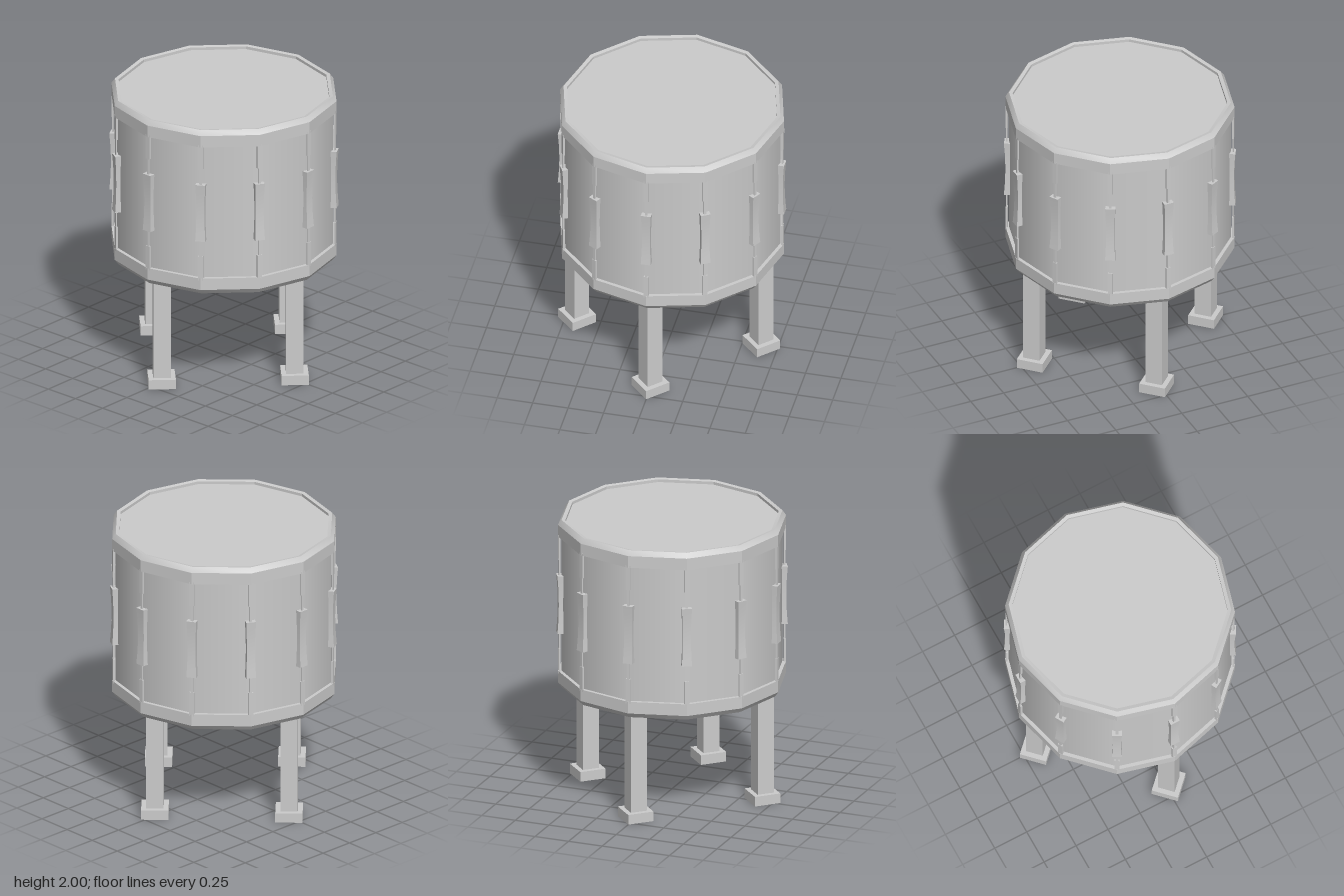
import * as THREE from 'three';
import { toCreasedNormals } from 'three/addons/utils/BufferGeometryUtils.js';

const SIDES = 12;
const MID = 1.39; // height of the drum's middle
const material = new THREE.MeshStandardMaterial({ color: 0xcccccc });

function add(parent, name, geometry, x = 0, y = 0, z = 0) {
  const mesh = new THREE.Mesh(geometry, material);
  mesh.name = name;
  mesh.position.set(x, y, z);
  parent.add(mesh);
  return mesh;
}

// Hoop cross-section, measured from the drum's middle, with a bevelled lip
function hoopGeometry() {
  const profile = [
    [0.75, 0.49], [0.79, 0.49], [0.79, 0.575], [0.765, 0.61], [0.74, 0.605], [0.74, 0.57],
  ].map(([r, y]) => new THREE.Vector2(r, y));
  return toCreasedNormals(new THREE.LatheGeometry(profile, SIDES), 0.5);
}

// Block lug with a slight waist in width and depth
function lugGeometry() {
  const geometry = new THREE.BoxGeometry(0.07, 0.42, 0.06, 1, 6, 1);
  const p = geometry.attributes.position;
  for (let i = 0; i < p.count; i++) {
    const waist = 1 - (p.getY(i) / 0.21) ** 2;
    p.setX(i, p.getX(i) * (1 - 0.18 * waist));
    if (p.getZ(i) > 0) p.setZ(i, p.getZ(i) - 0.01 * waist);
  }
  return toCreasedNormals(geometry, 0.5);
}

export function createModel() {
  const model = new THREE.Group();
  model.name = 'floorDrum';

  const drum = new THREE.Group();
  drum.name = 'drumBody';
  drum.position.y = MID;
  model.add(drum);

  // Shell
  add(drum, 'shell', new THREE.CylinderGeometry(0.765, 0.765, 1.1, SIDES, 1, true));

  // Hoop and head at each end; the lower pair is the upper one turned over
  const hoop = hoopGeometry();
  const head = new THREE.CylinderGeometry(0.745, 0.745, 0.03, SIDES);
  for (const [prefix, turn] of [['top', 0], ['bottom', Math.PI]]) {
    const end = new THREE.Group();
    end.name = prefix + 'End';
    end.rotation.x = turn;
    add(end, prefix + 'Hoop', hoop);
    add(end, prefix + 'Head', head, 0, 0.57, 0);
    drum.add(end);
  }

  // Lugs and tension rods on every corner of the shell
  const lug = lugGeometry();
  const rod = new THREE.BoxGeometry(0.018, 0.14, 0.01);
  const sleeve = new THREE.BoxGeometry(0.034, 0.18, 0.014);
  for (let i = 0; i < SIDES; i++) {
    const tensioner = new THREE.Group();
    tensioner.name = 'tensioner';
    tensioner.rotation.y = (i * Math.PI * 2) / SIDES;
    add(tensioner, 'lug', lug, 0, 0, 0.768);
    for (const s of [1, -1]) {
      add(tensioner, 'tensionRod', rod, 0, s * 0.27, 0.78);
      add(tensioner, 'rodSleeve', sleeve, 0, s * 0.415, 0.78);
    }
    drum.add(tensioner);
  }

  // Square legs with feet, turned corner-on
  const leg = new THREE.BoxGeometry(0.12, 0.76, 0.12);
  const foot = new THREE.BoxGeometry(0.188, 0.07, 0.188);
  for (const [x, z] of [[0, 0.65], [0, -0.65], [0.635, 0.02], [-0.665, 0.02]]) {
    const support = new THREE.Group();
    support.name = 'legAssembly';
    support.position.set(x, 0, z);
    support.rotation.y = Math.PI / 4;
    add(support, 'leg', leg, 0, 0.44, 0);
    add(support, 'foot', foot, 0, 0.035, 0);
    model.add(support);
  }

  return model;
}
